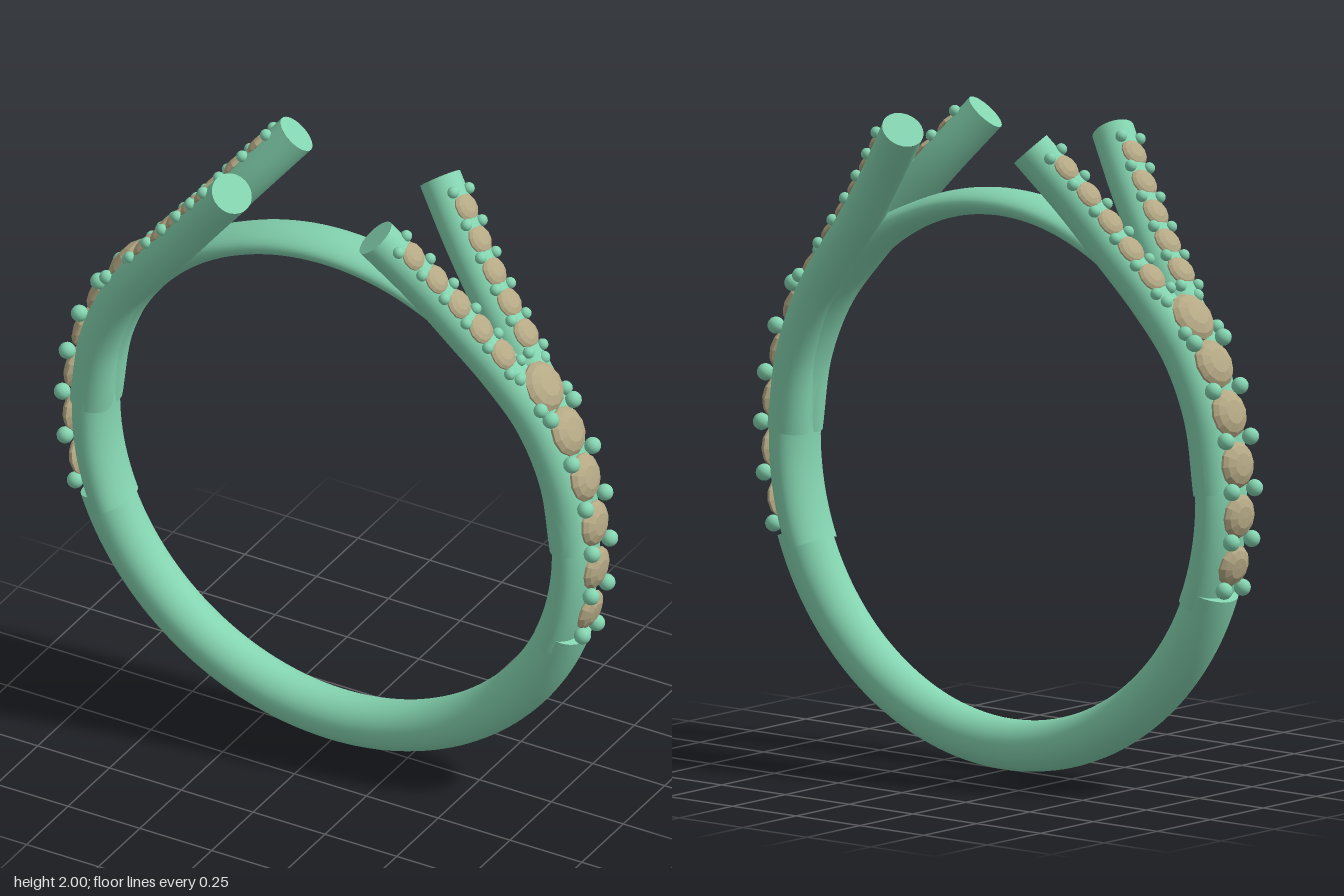
import * as THREE from 'three';
import { ParametricGeometry } from 'three/addons/geometries/ParametricGeometry.js';

const metal = new THREE.MeshStandardMaterial({ color: 0x84d4b0 });
const stone = new THREE.MeshStandardMaterial({ color: 0xb5a985, flatShading: true });
const CY = 0.9275, INNER = 0.772; // finger hole
const rad = THREE.MathUtils.degToRad;
const smooth = THREE.MathUtils.smoothstep;

export function createModel() {
  const ring = new THREE.Group();
  ring.name = 'splitShankRing';

  const add = (parent, name, geometry, material, position) => {
    const mesh = new THREE.Mesh(geometry, material);
    mesh.name = name;
    if (position) mesh.position.copy(position);
    parent.add(mesh);
    return mesh;
  };

  // Arc of the band with an oval section: thickness and half width vary with the angle
  const arc = (from, to, thickness, halfWidth, steps) =>
    new ParametricGeometry((u, v, p) => {
      const a = from + (to - from) * u, b = v * Math.PI * 2;
      const t = thickness(a) / 2;
      const r = INNER + t + t * Math.cos(b);
      p.set(r * Math.cos(a), CY + r * Math.sin(a), halfWidth(a) * Math.sin(b));
    }, steps, 32);

  // Lower shank, ending in a small step on each side
  const STEP = rad(-19.5);
  add(ring, 'lowerShank', arc(-Math.PI - STEP, STEP, () => 0.155,
    a => 0.082 + 0.007 * (1 + Math.sin(a)), 72), metal);
  for (const s of [1, -1]) {
    const r = INNER + 0.0775;
    const cap = add(ring, 'shankStep', new THREE.CircleGeometry(1, 32), metal,
      new THREE.Vector3(s * r * Math.cos(STEP), CY + r * Math.sin(STEP), 0));
    cap.scale.set(0.0775, 0.0865, 1);
    const out = new THREE.Vector3(s * Math.cos(STEP), Math.sin(STEP), 0);
    const up = new THREE.Vector3(-s * Math.sin(STEP), Math.cos(STEP), 0).multiply(new THREE.Vector3(s * s, 1, 1));
    cap.setRotationFromMatrix(new THREE.Matrix4().makeBasis(out, up.clone().cross(out), up));
  }

  // Upper shank, thinning to a slim bridge at the top
  const fromTop = a => Math.abs(a - Math.PI / 2);
  add(ring, 'upperShank', arc(rad(-23), rad(203),
    a => 0.08 + 0.047 * smooth(fromTop(a), rad(22), rad(58)),
    a => 0.085 + 0.011 * smooth(fromTop(a), rad(30), rad(60)), 110), metal);

  // Round cut stone of unit radius, facing +y
  const gemGeo = new THREE.LatheGeometry(
    [[0, -0.4], [1, 0], [1, 0.1], [0.84, 0.27], [0.5, 0.42], [0, 0.45]]
      .map(([x, y]) => new THREE.Vector2(x, y)), 12);
  const beadGeo = new THREE.SphereGeometry(1, 16, 12);
  const UP = new THREE.Vector3(0, 1, 0);
  const addGem = (parent, position, normal, radius) => {
    const gem = add(parent, 'gem', gemGeo, stone, position);
    gem.quaternion.setFromUnitVectors(UP, normal);
    gem.scale.setScalar(radius);
  };
  const addBead = (parent, position, radius) =>
    add(parent, 'bead', beadGeo, metal, position).scale.setScalar(radius);

  for (const sx of [1, -1]) {
    // Large stones and beads along the side of the band
    const row = new THREE.Group();
    row.name = sx > 0 ? 'leftSideStones' : 'rightSideStones';
    ring.add(row);
    const onBand = (deg, r, z) => new THREE.Vector3(
      sx * r * Math.cos(rad(deg)), CY + r * Math.sin(rad(deg)), z);
    for (let i = 0; i < 6; i++) {
      const deg = -12.7 + 9.95 * i;
      addGem(row, onBand(deg, 0.902, 0),
        new THREE.Vector3(sx * Math.cos(rad(deg)), Math.sin(rad(deg)), 0), 0.065 + 0.003 * i);
    }
    for (let i = 0; i < 7; i++) {
      for (const sz of [1, -1]) {
        addBead(row, onBand(-17 + 9.7 * i, i < 6 ? 0.923 : 0.905, sz * (0.043 + 0.005 * i)), i < 6 ? 0.026 : 0.02);
        if (i === 5) addBead(row, onBand(34, 0.912, sz * 0.075), 0.022);
      }
    }

    // Two diverging arms per side, each with small stones and bead pairs
    for (const sz of [1, -1]) {
      const arm = new THREE.Group();
      arm.name = (sx > 0 ? 'left' : 'right') + (sz > 0 ? 'Front' : 'Back') + 'Arm';
      ring.add(arm);
      const path = new THREE.CatmullRomCurve3(
        [[0.835, 0.95, 0.03], [0.8, 1.18, 0.033], [0.72, 1.37, 0.042], [0.61, 1.52, 0.062],
          [0.5, 1.65, 0.09], [0.38, 1.8, 0.132], [0.25, 1.96, 0.195]]
          .map(([x, y, z]) => new THREE.Vector3(sx * x, y, sz * z)));
      add(arm, 'armTube', new THREE.TubeGeometry(path, 60, 0.065, 28), metal);
      const end = add(arm, 'armEnd', new THREE.CircleGeometry(0.065, 28), metal, path.getPointAt(1));
      end.quaternion.setFromUnitVectors(new THREE.Vector3(0, 0, 1), path.getTangentAt(1));

      const frame = u => {
        const t = path.getTangentAt(u);
        const n = new THREE.Vector3(sx * t.y, -sx * t.x, 0).normalize();
        return { p: path.getPointAt(u), n, side: t.clone().cross(n) };
      };
      for (let i = 0; i < 5; i++) {
        const { p, n } = frame(0.558 + 0.087 * i);
        addGem(arm, p.addScaledVector(n, 0.053), n, 0.05 - 0.001 * i);
      }
      for (let i = 0; i < 6; i++) {
        for (const s of [1, -1]) {
          const { p, n, side } = frame(0.5145 + 0.087 * i);
          addBead(arm, p.addScaledVector(n, 0.06).addScaledVector(side, s * 0.037), 0.018);
        }
      }
    }
  }
  return ring;
}
